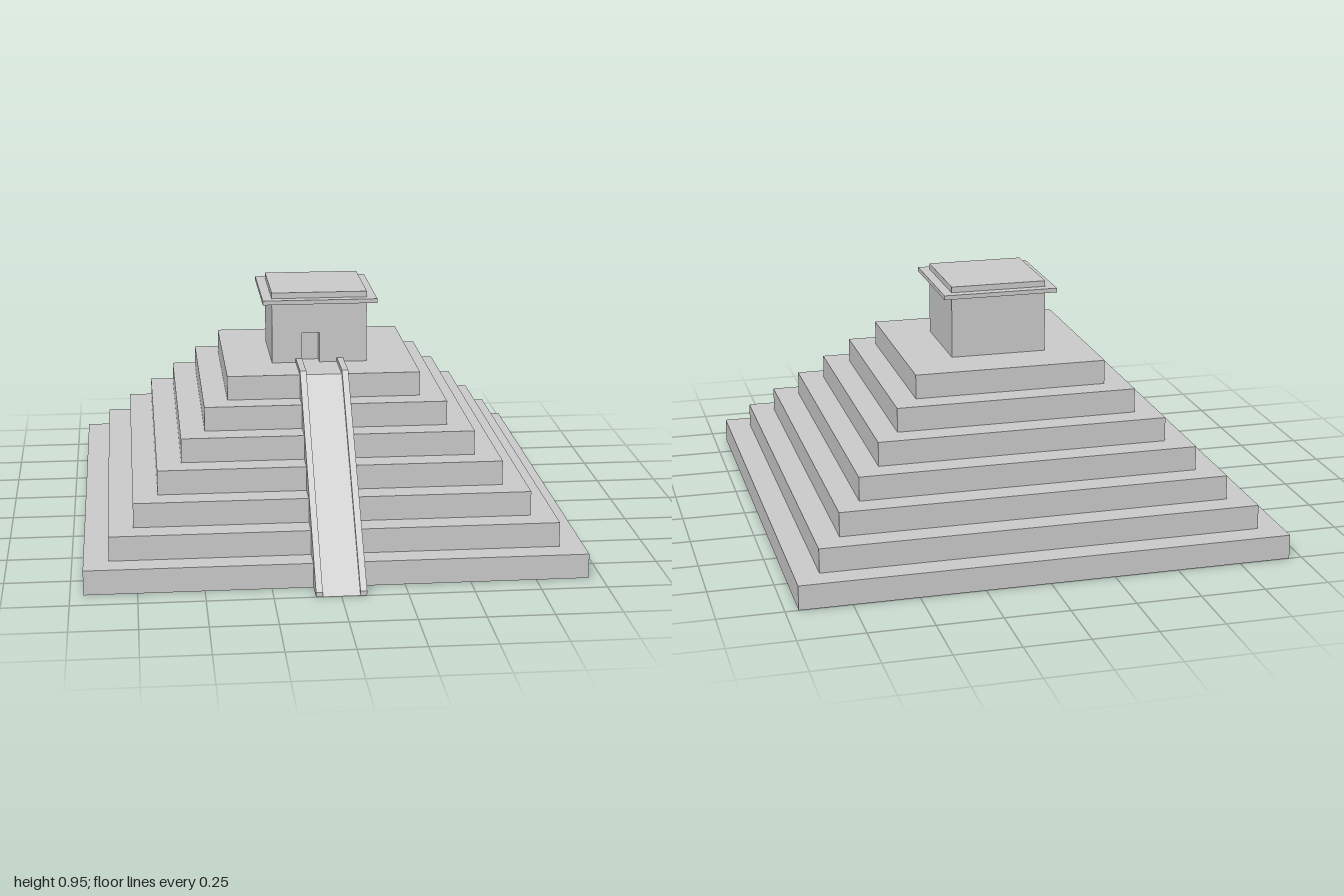
import * as THREE from 'three';

const stone = new THREE.MeshStandardMaterial({ color: 0xcccccc });
stone.name = 'pale grey stone';

const CENTRE_Z = -0.05; // the stair juts out in front, so the tiers sit back
const TIERS = 7;
const TIER_HEIGHT = 0.0955;
const TOP = TIERS * TIER_HEIGHT;

function addMesh(parent, name, geometry, x = 0, y = 0, z = 0) {
  const mesh = new THREE.Mesh(geometry, stone);
  mesh.name = name;
  mesh.position.set(x, y, z);
  parent.add(mesh);
  return mesh;
}

// Box placed by its bottom and its z range
function addBlock(parent, name, width, y0, y1, z0, z1) {
  const geometry = new THREE.BoxGeometry(width, y1 - y0, z1 - z0);
  return addMesh(parent, name, geometry, 0, (y0 + y1) / 2, (z0 + z1) / 2);
}

// Side profile of [z, y] points, extruded across x from x0 to x1
function addProfile(parent, name, points, x0, x1) {
  const shape = new THREE.Shape(points.map(([z, y]) => new THREE.Vector2(-z, y)));
  const geometry = new THREE.ExtrudeGeometry(shape, { depth: x1 - x0, bevelEnabled: false });
  geometry.rotateY(Math.PI / 2);
  return addMesh(parent, name, geometry, x0);
}

export function createModel() {
  const model = new THREE.Group();
  model.name = 'steppedPyramid';

  // Seven square tiers, each one set in from the one below
  const tiers = new THREE.Group();
  tiers.name = 'tiers';
  model.add(tiers);
  for (let i = 0; i < TIERS; i++) {
    const half = 0.95 - i * 0.095;
    addBlock(tiers, 'tier' + (i + 1), half * 2, i * TIER_HEIGHT, (i + 1) * TIER_HEIGHT,
      CENTRE_Z - half, CENTRE_Z + half);
  }

  // Smooth ramp between two raised side walls
  const stair = new THREE.Group();
  stair.name = 'stairway';
  model.add(stair);
  addProfile(stair, 'ramp', [[1, 0], [0.33, TOP], [0.33, 0]], -0.07, 0.07);
  const wall = [[1, 0], [1, 0.018], [0.335, 0.685], [0.14, 0.685], [0.14, 0.6], [0.3, 0.6], [0.3, 0]];
  addProfile(stair, 'rightSideWall', wall, -0.095, -0.07);
  addProfile(stair, 'leftSideWall', wall, 0.07, 0.095);

  // Temple: solid core with a front wall notched for the doorway
  const temple = new THREE.Group();
  temple.name = 'temple';
  model.add(temple);
  const roofY = 0.955;
  const depth = 0.05;
  addBlock(temple, 'templeCore', 0.38, TOP, roofY, -0.24, 0.14 - depth);
  const front = new THREE.Shape([
    [-0.19, TOP], [-0.07, TOP], [-0.07, 0.79], [0, 0.79],
    [0, TOP], [0.19, TOP], [0.19, roofY], [-0.19, roofY],
  ].map(([x, y]) => new THREE.Vector2(x, y)));
  addMesh(temple, 'doorwayWall',
    new THREE.ExtrudeGeometry(front, { depth, bevelEnabled: false }), 0, 0, 0.14 - depth);

  // Thin overhanging cornice below the roof
  addBlock(temple, 'cornice', 0.456, 0.915, 0.932, -0.278, 0.178);

  return model;
}
